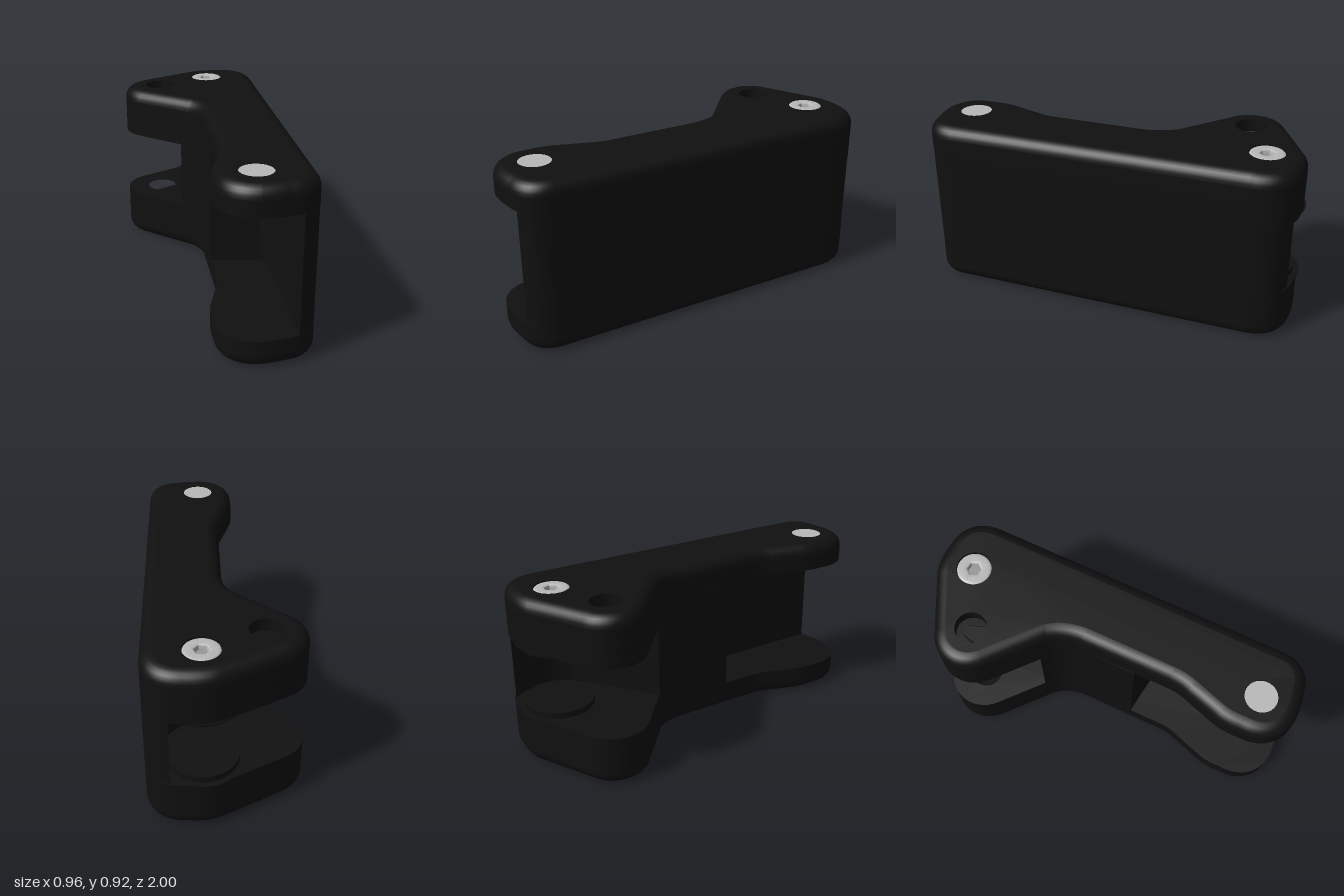
import * as THREE from 'three';
import { mergeVertices, mergeGeometries, toCreasedNormals } from 'three/addons/utils/BufferGeometryUtils.js';

const H = 0.915, R = 0.065;              // total height, edge rounding
const HOLE = [-0.28, -0.61, 0.083];      // x, z, radius
const BOLT = [0, -0.79, 0.092];
const PIN = [0.19, 0.8, 0.083];

// Plan outline; drawn with y = -z. Either end can be cut back to its slot.
function outline(frontSlot, rearSlot) {
  const s = new THREE.Shape();
  const L = (x, z) => s.lineTo(x, -z);
  const Q = (a, b, x, z) => s.quadraticCurveTo(a, -b, x, -z);
  const B = (a, b, c, d, x, z) => s.bezierCurveTo(a, -b, c, -d, x, -z);
  s.moveTo(0.285, 0.8);
  L(0.475, 0.78);
  if (frontSlot) {
    B(0.485, 0.86, 0.45, 0.92, 0.395, 0.945);
    L(0.308, 0.27);
    Q(0.298, 0.19, 0.25, 0.19);
    L(0.003, 0.19);
  } else {
    B(0.49, 0.88, 0.43, 0.95, 0.34, 0.968);
    Q(0.27, 0.995, 0.195, 1.0);
    B(0.08, 1.0, 0.0, 0.92, -0.005, 0.8);
    Q(-0.02, 0.72, -0.01, 0.66);
    L(0.024, 0.48);
    Q(0.036, 0.43, 0.028, 0.37);
  }
  L(-0.03, -0.1);
  Q(-0.05, -0.21, -0.115, -0.265);
  if (rearSlot) {
    L(-0.155, -0.29);
    L(0.15, -0.6);
    Q(0.19, -0.64, 0.205, -0.69);
    B(0.25, -0.79, 0.22, -0.92, 0.135, -0.988);
    B(0.22, -0.975, 0.275, -0.92, 0.285, -0.8);
  } else {
    L(-0.4, -0.455);
    B(-0.51, -0.53, -0.51, -0.69, -0.395, -0.765);
    L(-0.115, -0.955);
    B(-0.06, -0.99, 0.0, -0.997, 0.09, -1.0);
    B(0.2, -1.0, 0.275, -0.93, 0.285, -0.8);
  }
  return s;
}

function circle([x, z, r]) {
  return new THREE.Path().absarc(x, -z, r, 0, Math.PI * 2, true);
}

// Flat slab of the body between two heights
function slab(frontSlot, rearSlot, y0, y1) {
  const s = outline(frontSlot, rearSlot);
  if (!rearSlot) s.holes.push(circle(HOLE));
  const g = new THREE.ExtrudeGeometry(s, { depth: y1 - y0, bevelEnabled: false, curveSegments: 14 });
  return toCreasedNormals(g.rotateX(-Math.PI / 2).translate(0, y0, 0), 0.6);
}

// Counter-clockwise outline points moved inward by d
function inset(pts, d) {
  const n = pts.length;
  return pts.map((p, i) => {
    const a = p.clone().sub(pts[(i + n - 1) % n]).normalize();
    const b = pts[(i + 1) % n].clone().sub(p).normalize();
    const m = new THREE.Vector2(-a.y - b.y, a.x + b.x).normalize();
    const k = d / Math.max(0.5, m.dot(new THREE.Vector2(-a.y, a.x)));
    return p.clone().addScaledVector(m, k);
  });
}

// Rounded top: swept edge, flat face with holes, and hole linings
function roundedCap() {
  const pts = outline(false, false).getPoints(14);
  if (pts[0].distanceTo(pts[pts.length - 1]) < 1e-6) pts.pop();
  pts.reverse();
  const n = pts.length, steps = 6, pos = [], idx = [];
  let ring = pts;
  for (let k = 0; k <= steps; k++) {
    const a = k / steps * Math.PI / 2;
    ring = inset(pts, R * (1 - Math.cos(a)));
    ring.forEach(p => pos.push(p.x, H - R + R * Math.sin(a), -p.y));
    if (k < steps) for (let i = 0; i < n; i++) {
      const p = k * n + i, q = k * n + (i + 1) % n;
      idx.push(p, q, q + n, p, q + n, p + n);
    }
  }
  const edge = new THREE.BufferGeometry();
  edge.setAttribute('position', new THREE.Float32BufferAttribute(pos, 3));
  edge.setIndex(idx);
  edge.computeVertexNormals();

  const face = new THREE.Shape(ring);
  [HOLE, BOLT, PIN].forEach(h => face.holes.push(circle(h)));
  const parts = [edge, new THREE.ShapeGeometry(face, 14).rotateX(-Math.PI / 2).translate(0, H, 0)];
  for (const [x, z, r] of [HOLE, BOLT, PIN]) {
    const wall = [new THREE.Vector2(r, H), new THREE.Vector2(r, H - R)];
    parts.push(new THREE.LatheGeometry(wall, 28).translate(x, 0, z));
  }
  parts.forEach(g => g.deleteAttribute('uv'));
  return mergeGeometries(parts);
}

// Button head with a hexagonal opening
function boltHead() {
  const s = new THREE.Shape().absarc(0, 0, 0.078, 0, Math.PI * 2, false);
  const hex = [];
  for (let i = 0; i < 6; i++) {
    const a = -i * Math.PI / 3;
    hex.push(new THREE.Vector2(0.05 * Math.cos(a), 0.05 * Math.sin(a)));
  }
  s.holes.push(new THREE.Path(hex));
  const g = new THREE.ExtrudeGeometry(s, {
    depth: 0.04, bevelSize: 0.012, bevelThickness: 0.01, bevelSegments: 3, curveSegments: 18,
  });
  return toCreasedNormals(g.rotateX(-Math.PI / 2).translate(BOLT[0], H - 0.051, BOLT[1]), 0.5);
}

// Same part on the underside, mirrored about mid height
function mirrored(geometry) {
  const g = mergeVertices(geometry.clone());
  g.scale(1, -1, 1).translate(0, H, 0);
  const ix = g.index;
  for (let i = 0; i < ix.count; i += 3) {
    const t = ix.getX(i);
    ix.setX(i, ix.getX(i + 1));
    ix.setX(i + 1, t);
  }
  return g;
}

export function createModel() {
  const black = new THREE.MeshStandardMaterial({ color: 0x101010 });
  const steel = new THREE.MeshStandardMaterial({ color: 0xb9b9b9 });
  const darkSteel = new THREE.MeshStandardMaterial({ color: 0x989898 });
  black.name = 'black';
  steel.name = 'steel';
  darkSteel.name = 'dark steel';

  const model = new THREE.Group();
  model.name = 'pivotArm';
  const add = (name, geometry, material) => {
    const m = new THREE.Mesh(geometry, material);
    m.name = name;
    model.add(m);
  };
  const addPair = (name, geometry, material) => {
    add('upper' + name, geometry, material);
    add('lower' + name, mirrored(geometry), material);
  };
  const disc = (x, z, r, y0, y1, sides = 36) =>
    new THREE.CylinderGeometry(r, r, y1 - y0, sides).translate(x, (y0 + y1) / 2, z);

  // Body, stacked between the rounded caps
  add('lowerPlate', slab(false, false, R, 0.15), black);
  add('lowerRearLug', slab(true, false, 0.15, 0.27), black);
  add('web', slab(true, true, 0.27, 0.648), black);
  add('upperRearLug', slab(true, false, 0.648, 0.768), black);
  add('upperPlate', slab(false, false, 0.768, H - R), black);
  addPair('RoundedCap', roundedCap(), black);

  // Bearing faces inside the rear slot
  addPair('SlotWasher', disc(0, -0.79, 0.18, 0.612, 0.65), black);
  addPair('SlotWasherRim', disc(0, -0.79, 0.21, 0.644, 0.65), black);

  // Bolts at the rear, pin ends at the front
  addPair('BoltHead', boltHead(), steel);
  addPair('BoltSocket', disc(BOLT[0], BOLT[1], 0.06, H - 0.05, H - 0.03, 18), darkSteel);
  addPair('PinEnd', disc(PIN[0], PIN[1], PIN[2], H - 0.06, H - 0.003), steel);
  return model;
}
